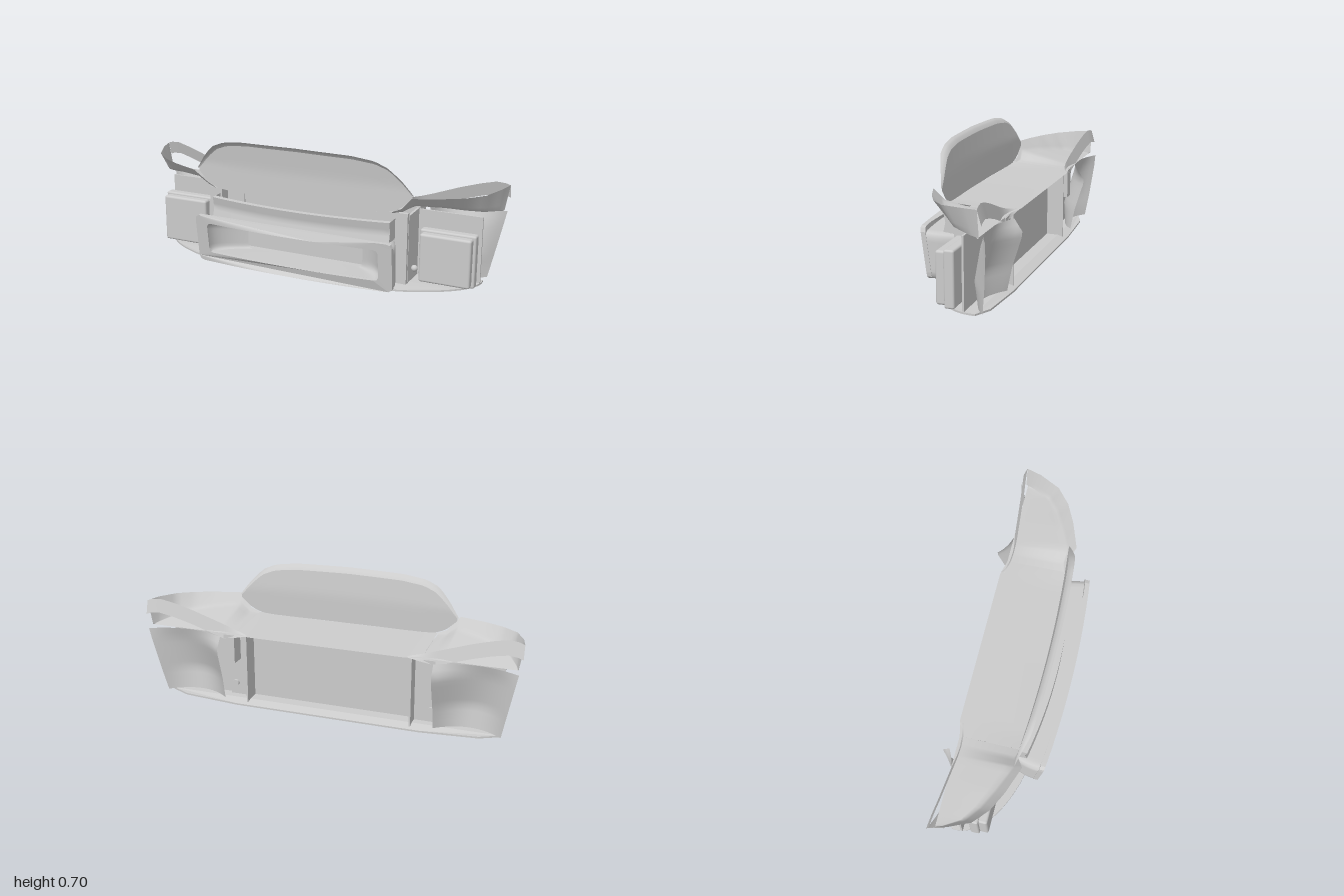
import * as THREE from 'three';
import { RoundedBoxGeometry } from 'three/addons/geometries/RoundedBoxGeometry.js';

const mat = new THREE.MeshStandardMaterial({ color: 0xcccccc, side: THREE.DoubleSide });
const oneSided = new THREE.MeshStandardMaterial({ color: 0xcccccc });

// piecewise linear lookup: xs ascending
function pick(x, xs, vs) {
  for (let i = 1; i < xs.length; i++) {
    if (x <= xs[i]) return vs[i - 1] + (vs[i] - vs[i - 1]) * (x - xs[i - 1]) / (xs[i] - xs[i - 1]);
  }
  return vs[vs.length - 1];
}

const lerp = THREE.MathUtils.lerp;

export function createModel() {
  const root = new THREE.Group();

  function add(name, geo, x = 0, y = 0, z = 0, material = mat) {
    const m = new THREE.Mesh(geo, material);
    m.name = name;
    m.position.set(x, y, z);
    root.add(m);
  }

  // box given by its limits
  function box(name, x0, x1, y0, y1, z0, z1) {
    add(name, new THREE.BoxGeometry(Math.abs(x1 - x0), y1 - y0, z1 - z0),
      (x0 + x1) / 2, (y0 + y1) / 2, (z0 + z1) / 2);
  }

  // smooth sheet from a rule f(u, v) -> [x, y, z]
  function sheet(name, nu, nv, f, material) {
    const pos = [], idx = [];
    for (let j = 0; j <= nv; j++) for (let i = 0; i <= nu; i++) pos.push(...f(i / nu, j / nv));
    for (let j = 0; j < nv; j++) for (let i = 0; i < nu; i++) {
      const a = j * (nu + 1) + i, b = a + nu + 1;
      idx.push(a, a + 1, b, b, a + 1, b + 1);
    }
    const g = new THREE.BufferGeometry();
    g.setAttribute('position', new THREE.Float32BufferAttribute(pos, 3));
    g.setIndex(idx);
    g.computeVertexNormals();
    add(name, g, 0, 0, 0, material);
  }

  // evenly spaced points round a rounded rectangle
  function ring(hw, y0, y1, r, n = 120) {
    const s = new THREE.Shape();
    s.moveTo(-hw + r, y0).lineTo(hw - r, y0).quadraticCurveTo(hw, y0, hw, y0 + r);
    s.lineTo(hw, y1 - r).quadraticCurveTo(hw, y1, hw - r, y1);
    s.lineTo(-hw + r, y1).quadraticCurveTo(-hw, y1, -hw, y1 - r);
    s.lineTo(-hw, y0 + r).quadraticCurveTo(-hw, y0, -hw + r, y0);
    return s.getSpacedPoints(n);
  }

  // skid plate, rising gently to the front and the ends
  const skid = new THREE.Shape();
  skid.moveTo(-0.8, 0.2).lineTo(-0.5, 0.21).lineTo(0.5, 0.21).lineTo(0.8, 0.2).lineTo(0.9, 0.16);
  skid.bezierCurveTo(0.92, 0.02, 0.75, -0.09, 0.55, -0.14);
  skid.quadraticCurveTo(0, -0.235, -0.55, -0.14);
  skid.bezierCurveTo(-0.75, -0.09, -0.92, 0.02, -0.9, 0.16);
  const skidGeo = new THREE.ExtrudeGeometry(skid, { depth: 0.009, bevelEnabled: false, curveSegments: 16 });
  skidGeo.rotateX(-Math.PI / 2);
  const sp = skidGeo.attributes.position;
  for (let i = 0; i < sp.count; i++) {
    const ends = 0.035 * Math.max(0, Math.abs(sp.getX(i)) - 0.5);
    sp.setY(i, sp.getY(i) + (sp.getZ(i) + 0.21) * 0.035 + ends);
  }
  skidGeo.computeVertexNormals();
  add('skidPlate', skidGeo);

  // front frame, bowed and leaning forward to the top
  const bow = (x, y) => 0.247 + (y - 0.04) * 0.13 - 0.1 * x * x;
  const frame = new THREE.Shape(ring(0.55, 0.035, 0.297, 0.03));
  frame.holes.push(new THREE.Path(ring(0.48, 0.09, 0.258, 0.025)));
  const frameGeo = new THREE.ExtrudeGeometry(frame, { depth: 0.025, bevelEnabled: false });
  const fp = frameGeo.attributes.position;
  for (let i = 0; i < fp.count; i++) {
    fp.setZ(i, fp.getZ(i) - 0.025 + bow(fp.getX(i), fp.getY(i)));
  }
  frameGeo.computeVertexNormals();
  add('frontFrame', frameGeo);

  // shell behind the frame and tunnel inside its opening
  const loft = (name, a, b, zEnd) => sheet(name, 120, 8, (u, v) => {
    const k = Math.round(u * 120), p = a[k], q = b[k];
    return [lerp(p.x, q.x, v * v), lerp(p.y, q.y, v), lerp(bow(p.x, p.y) - 0.008, zEnd, v)];
  });
  loft('frameShell', ring(0.548, 0.037, 0.275, 0.03), ring(0.5, 0.022, 0.26, 0.02), 0.065);
  loft('frameTunnel', ring(0.48, 0.09, 0.258, 0.025), ring(0.33, 0.085, 0.235, 0.02), 0.075);

  // rear body panel
  sheet('bodyPanel', 12, 4, (u, v) => [lerp(-0.45, 0.45, u), lerp(0.012, 0.398, v), -0.098]);

  // upper beam: bowed strip with a shallow crease along the middle
  const beamZ = (x, v) => 0.2 - 0.2 * x * x - 0.012 * (1 - Math.abs(2 * v - 1));
  sheet('upperBeam', 32, 6, (u, v) => {
    const x = lerp(-0.5, 0.5, u);
    return [x, lerp(0.262, 0.37, v), beamZ(x, v)];
  });
  for (const y of [0.262, 0.37]) {
    sheet('beamReturn', 32, 1, (u, v) => {
      const x = lerp(-0.5, 0.5, u);
      return [x, y, beamZ(x, 0) - 0.03 * v];
    });
  }

  // top deck floor between the wings
  const xs = [0, 0.42, 0.5, 0.55, 0.61, 0.75, 0.85, 0.93, 0.98, 1];
  const zf = [0.14, 0.125, 0.12, 0.115, 0.15, 0.1, 0.05, -0.02, -0.13, -0.21];
  const yf = [0.405, 0.41, 0.418, 0.44, 0.508, 0.512, 0.515, 0.52, 0.528, 0.53];
  const yc = [0.405, 0.408, 0.41, 0.42, 0.46, 0.45, 0.435, 0.42, 0.405, 0.4];
  const inset = [0, 0, 0.01, 0.02, 0.05, 0.06, 0.06, 0.05, 0.03, 0];
  const zb = [-0.22, -0.22, -0.2, -0.195, -0.195, -0.205, -0.213, -0.222, -0.228, -0.23];
  const yb = [0.395, 0.395, 0.41, 0.425, 0.445, 0.495, 0.525, 0.543, 0.538, 0.53];
  sheet('deckFloor', 24, 6, (u, v) => {
    const x = lerp(-0.5, 0.5, u), a = Math.abs(x);
    return [x, lerp(pick(a, xs, yf), 0.395, v), lerp(pick(a, xs, zf), pick(a, xs, zb), v)];
  }, oneSided);

  // upright shield with a lip turned forward
  const hx = [0, 0.3, 0.42, 0.49, 0.55, 0.61];
  const top = [0.7, 0.695, 0.68, 0.65, 0.59, 0.51];
  const low = [0.405, 0.407, 0.41, 0.415, 0.44, 0.495];
  const shieldZ = (x, y) => 0.14 - 0.08 * x * x + 0.12 * Math.max(0, y - 0.55);
  const shieldX = u => lerp(-0.61, 0.61, u);
  const rim = x => {
    const a = Math.abs(x), t = pick(a, hx, top);
    return { x: x * 0.985, y: lerp(t, pick(a, hx, low), 0.09) };
  };
  sheet('shield', 48, 10, (u, v) => {
    const x = shieldX(u), r = rim(x);
    const y = lerp(pick(Math.abs(x), hx, low), r.y, v);
    return [r.x, y, shieldZ(x, y)];
  });
  sheet('shieldLip', 48, 3, (u, v) => {
    const x = shieldX(u), r = rim(x), t = pick(Math.abs(x), hx, top);
    const reach = 0.032 * Math.min(1, (t - 0.5) / 0.15);
    return [lerp(r.x, x, v), lerp(r.y, t, Math.sqrt(v)), shieldZ(x, r.y) + reach * v];
  });

  for (const s of [1, -1]) {
    // dished wing: slanted rim, crease, then a floor running to the rear
    const steps = [0, 1, 2, 3, 4, 5, 6, 7].map(i => i / 7);
    sheet('wingDish', 28, 12, (u, v) => {
      const a = pick(u, steps, xs.slice(2));
      const rise = Math.min(1, v * 3), back = Math.max(0, v * 1.5 - 0.5);
      const z = pick(a, xs, zf) - pick(a, xs, inset) * rise;
      return [s * (a - 0.06 * Math.max(0, a - 0.61) * rise),
        v * 3 < 1 ? lerp(pick(a, xs, yf), pick(a, xs, yc), rise) : lerp(pick(a, xs, yc), 0.395, back),
        lerp(z, -0.2, back)];
    });

    // raised strip bridging the back of the wing
    sheet('wingRearStrip', 24, 2, (u, v) => {
      const a = lerp(0.43, 1, u);
      return [s * a, pick(a, xs, yb) - 0.07 * v * Math.min(1, u * 4), pick(a, xs, zb) + 0.02 * (1 - v)];
    });

    // end of the upper beam
    sheet('beamEnd', 2, 6, (u, v) => [s * 0.5, lerp(0.262, 0.37, v), lerp(beamZ(0.5, v), 0.055, u)]);

    // wheel liner behind the lamp, hollow towards the rear
    const ly = [0.03, 0.15, 0.32, 0.385];
    sheet('wheelLiner', 16, 12, (u, v) => {
      const y = lerp(0.03, 0.385, v);
      const zi = pick(y, ly, [-0.2, -0.225, -0.278, -0.235]);
      const zo = pick(y, ly, [-0.2, -0.218, -0.237, -0.24]);
      const bulge = pick(y, ly, [0.07, 0.105, 0.095, 0.055]);
      return [s * lerp(0.57, lerp(0.91, 0.985, v), u), y, lerp(zi, zo, u) + bulge * 4 * u * (1 - u)];
    });

    // post and lamp recess
    box('frontPost', s * 0.49, s * 0.565, 0.02, 0.4, 0.045, 0.068);
    box('postSide', s * 0.555, s * 0.567, 0.025, 0.385, -0.105, 0.05);
    box('lampBacking', s * 0.56, s * 0.9, 0.03, 0.38, -0.11, -0.1);

    // square lamp: housing, front lens and side knob
    add('lampHousing', new RoundedBoxGeometry(0.29, 0.275, 0.05, 3, 0.01), s * 0.75, 0.168, -0.035);
    add('lampLens', new RoundedBoxGeometry(0.265, 0.255, 0.05, 3, 0.012), s * 0.75, 0.168, 0.01);
    add('lampKnob', new THREE.SphereGeometry(0.017, 16, 12), s * 0.585, 0.095, 0);

    // mounting bracket
    box('bracketPlate', s * 0.442, s * 0.45, 0.015, 0.39, -0.19, -0.09);
    box('bracketFlange', s * 0.445, s * 0.57, 0.02, 0.39, -0.12, -0.11);
    box('bracketBlock', s * 0.51, s * 0.57, 0.23, 0.385, -0.195, -0.12);
    const bolt = new THREE.CylinderGeometry(0.018, 0.018, 0.02, 16);
    bolt.rotateX(Math.PI / 2);
    add('bracketBolt', bolt, s * 0.54, 0.09, -0.125);
  }

  return root;
}
